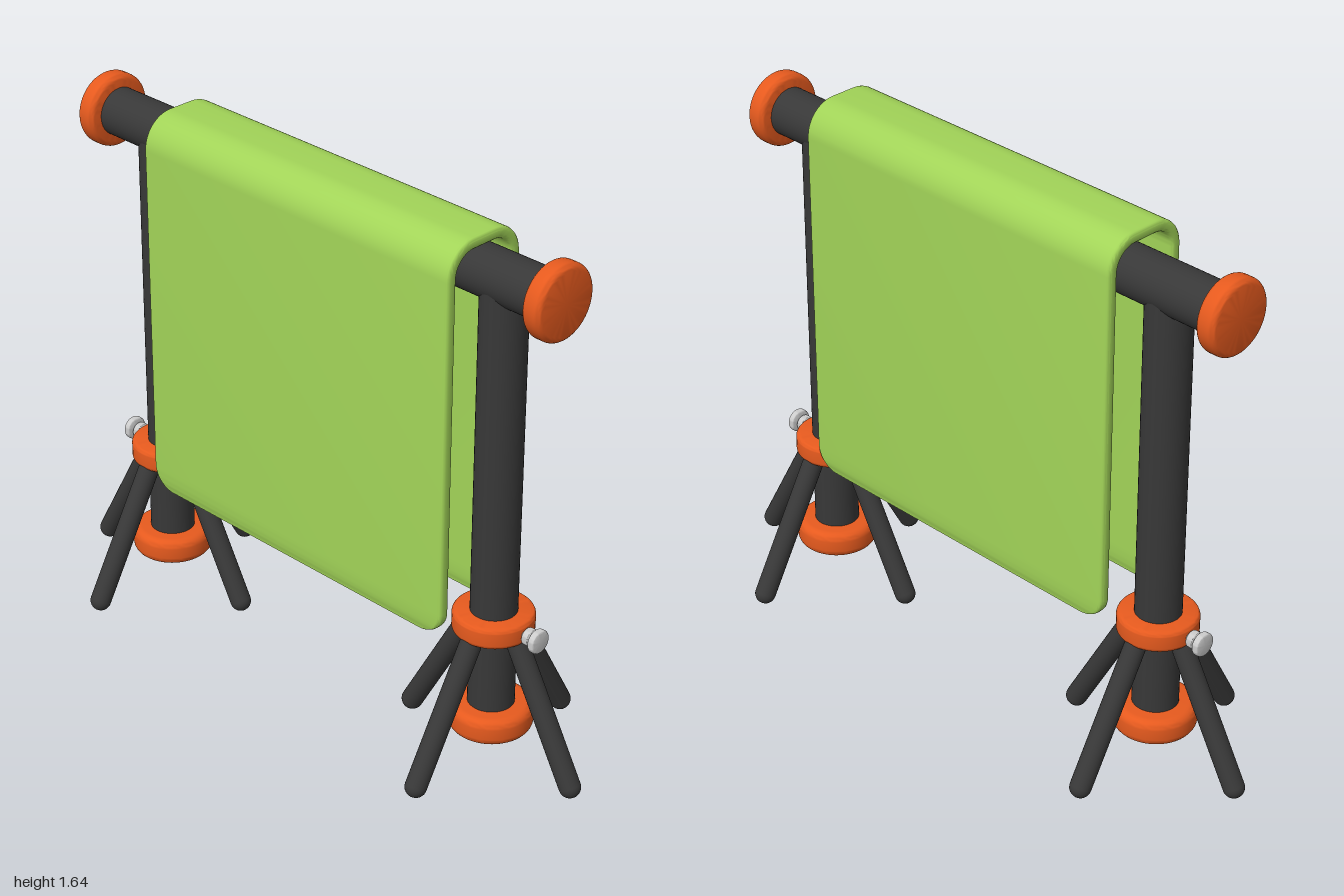
import * as THREE from 'three';
import { toCreasedNormals } from 'three/addons/utils/BufferGeometryUtils.js';

const mat = (color) => new THREE.MeshStandardMaterial({ color });
const dark = mat(0x383838), orange = mat(0xe65a1e), green = mat(0xa2d458), grey = mat(0xcccccc);

function add(parent, name, geometry, material, x = 0, y = 0, z = 0) {
  const mesh = new THREE.Mesh(geometry, material);
  mesh.name = name;
  mesh.position.set(x, y, z);
  parent.add(mesh);
  return mesh;
}

// Solid disc of radius r and height h with rounded rims, centred on its axis
function roundedDisc(r, h, b) {
  const pts = [new THREE.Vector2(0, -h / 2)];
  for (const [cy, start] of [[-h / 2 + b, -Math.PI / 2], [h / 2 - b, 0]]) {
    for (let i = 0; i <= 6; i++) {
      const a = start + (i / 6) * Math.PI / 2;
      pts.push(new THREE.Vector2(r - b + b * Math.cos(a), cy + b * Math.sin(a)));
    }
  }
  pts.push(new THREE.Vector2(0, h / 2));
  return toCreasedNormals(new THREE.LatheGeometry(pts, 48), 0.6);
}

// Post with collar, splayed legs, foot cap and clamp screw; side is +1 or -1
function createStand(side) {
  const stand = new THREE.Group();
  stand.name = side > 0 ? 'leftStand' : 'rightStand';
  stand.position.x = side * 0.672;
  add(stand, 'post', new THREE.CylinderGeometry(0.068, 0.068, 1.38, 40), dark, 0, 0.83);
  add(stand, 'collar', roundedDisc(0.118, 0.066, 0.014), orange, 0, 0.458);
  add(stand, 'footCap', roundedDisc(0.123, 0.084, 0.026), orange, 0, 0.142);

  const up = new THREE.Vector3(0, 1, 0);
  for (let i = 0; i < 4; i++) {
    const a = i * Math.PI / 2;
    const dir = new THREE.Vector3(Math.cos(a), 0, Math.sin(a));
    const top = dir.clone().multiplyScalar(0.073).setY(0.45);
    const tip = dir.clone().multiplyScalar(0.305).setY(0.034);
    const span = top.clone().sub(tip);
    const leg = add(stand, 'leg', new THREE.CapsuleGeometry(0.032, span.length(), 8, 24), dark);
    leg.position.copy(top).add(tip).multiplyScalar(0.5);
    leg.quaternion.setFromUnitVectors(up, span.normalize());
  }

  const screw = new THREE.Group();
  screw.name = 'clampScrew';
  screw.position.set(side * 0.1, 0.458, 0);
  screw.rotation.z = -side * Math.PI / 2;
  add(screw, 'screwShaft', new THREE.CylinderGeometry(0.014, 0.014, 0.07, 20), grey, 0, 0.03);
  add(screw, 'screwFlange', roundedDisc(0.026, 0.024, 0.005), grey, 0, 0.036);
  add(screw, 'screwHead', roundedDisc(0.036, 0.022, 0.007), grey, 0, 0.066);
  stand.add(screw);
  return stand;
}

// Sheet folded over the rail: a thin section swept along an upside-down U,
// narrowing at both ends for rounded bottom corners
function createSheet() {
  const t = 0.035, b = 0.011, corner = 0.07, bottom = 0.445, top = 1.645;
  const front = 0.168, back = -0.113, R = 0.1, midX = 0.033, half = 0.591;
  const path = []; // y, z on the outer face, outward normal, half width
  const flap = (z, nz) => {
    const rows = [];
    for (let i = 0; i <= 10; i++) {
      const a = (i / 10) * Math.PI / 2;
      rows.push({ y: bottom + corner * (1 - Math.cos(a)), z, ny: 0, nz, w: half - corner * (1 - Math.sin(a)) });
    }
    return rows;
  };
  const bend = (cz, from) => {
    for (let i = 0; i <= 14; i++) {
      const a = from + (i / 14) * Math.PI / 2;
      const nz = Math.cos(a), ny = Math.sin(a);
      path.push({ y: top - R + R * ny, z: cz + R * nz, ny, nz, w: half });
    }
  };
  path.push(...flap(front, 1));
  bend(front - R, 0);
  bend(back + R, Math.PI / 2);
  path.push(...flap(back, -1).reverse());

  // Section corners as [side, inset from the edge, depth below the outer face]
  const section = [];
  for (const [sx, flip] of [[1, false], [-1, true]]) {
    const edge = [];
    for (let i = 0; i <= 3; i++) {
      const a = (i / 3) * Math.PI / 2;
      edge.push([sx, b * (1 - Math.sin(a)), b * (1 - Math.cos(a))]);
    }
    for (let i = 0; i <= 3; i++) {
      const a = (i / 3) * Math.PI / 2;
      edge.push([sx, b * (1 - Math.cos(a)), t - b * (1 - Math.sin(a))]);
    }
    section.push(...(flip ? edge.reverse() : edge));
  }

  const n = section.length, pos = [], index = [];
  for (const p of path) {
    for (const [sx, inset, d] of section) {
      pos.push(midX + sx * (p.w - inset), p.y - p.ny * d, p.z - p.nz * d);
    }
  }
  for (let r = 0; r < path.length - 1; r++) {
    for (let i = 0; i < n; i++) {
      const a = r * n + i, c = r * n + (i + 1) % n;
      index.push(a, a + n, c, c, a + n, c + n);
    }
  }
  const last = (path.length - 1) * n;
  for (let i = 1; i < n - 1; i++) {
    index.push(0, i, i + 1, last, last + i + 1, last + i);
  }
  const geo = new THREE.BufferGeometry();
  geo.setAttribute('position', new THREE.Float32BufferAttribute(pos, 3));
  geo.setIndex(index);
  return toCreasedNormals(geo, 0.65);
}

export function createModel() {
  const model = new THREE.Group();
  model.name = 'foldedSheetRack';

  const rack = new THREE.Group();
  rack.name = 'rack';
  rack.rotation.y = 0.149;
  model.add(rack);

  for (const side of [-1, 1]) rack.add(createStand(side));

  // Rail with an end cap on each side
  const railY = 1.522;
  const rail = add(rack, 'rail', new THREE.CylinderGeometry(0.073, 0.073, 1.74, 48), dark, -0.015, railY);
  rail.rotation.z = Math.PI / 2;
  for (const x of [-0.885, 0.855]) {
    const cap = add(rack, 'endCap', roundedDisc(0.112, 0.064, 0.02), orange, x, railY);
    cap.rotation.z = Math.PI / 2;
  }

  const sheet = add(rack, 'sheet', createSheet(), green);
  sheet.material.side = THREE.DoubleSide;
  return model;
}
